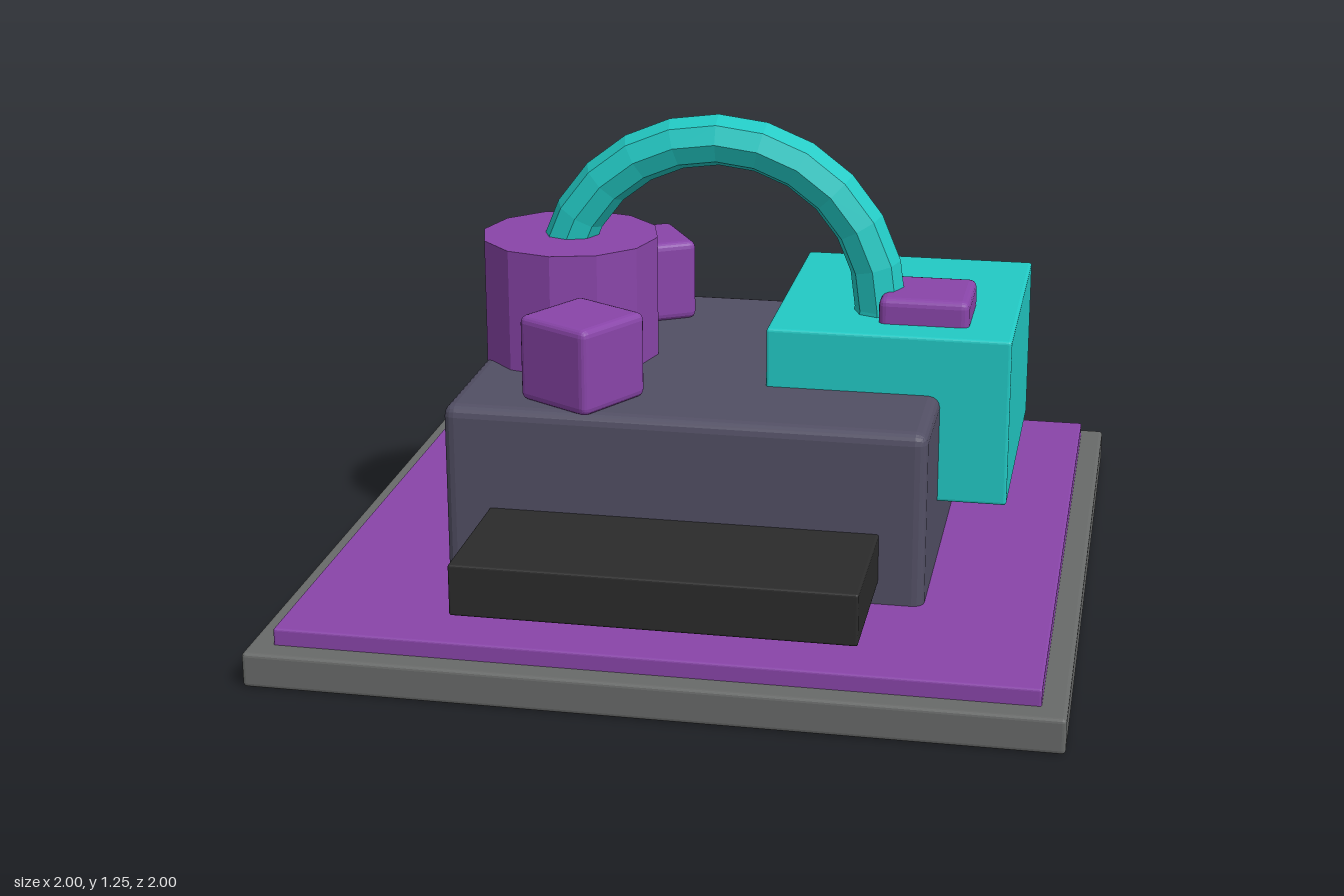
import * as THREE from 'three';
import { RoundedBoxGeometry } from 'three/addons/geometries/RoundedBoxGeometry.js';

function material(name, color, flat = false) {
  const m = new THREE.MeshStandardMaterial({ color });
  m.name = name;
  m.flatShading = flat;
  return m;
}

export function createModel() {
  const grey = material('grey', 0x686a69, true);
  const purple = material('purple', 0x8945a9, true);
  const slate = material('slate', 0x524f64, true);
  const black = material('black', 0x2b2b2b, true);
  const turquoise = material('turquoise', 0x22cac5, true);

  const model = new THREE.Group();
  model.name = 'model';

  function add(name, geometry, mat, x = 0, y = 0, z = 0) {
    const mesh = new THREE.Mesh(geometry, mat);
    mesh.name = name;
    mesh.position.set(x, y, z);
    model.add(mesh);
    return mesh;
  }

  // Bevelled box given by its extents on each axis
  function block(name, mat, [x0, x1], [y0, y1], [z0, z1], bevel) {
    const geometry = new RoundedBoxGeometry(x1 - x0, y1 - y0, z1 - z0, 2, bevel);
    return add(name, geometry, mat, (x0 + x1) / 2, (y0 + y1) / 2, (z0 + z1) / 2);
  }

  // Stacked floor slabs
  block('basePlate', grey, [-1, 1], [0, 0.09], [-1, 1], 0.01);
  block('floorPanel', purple, [-0.938, 0.938], [0.07, 0.133], [-0.938, 0.938], 0.006);

  // Main housing and the front ledge
  block('mainBody', slate, [-0.618, 0.615], [0.09, 0.587], [-0.573, 0.518], 0.03);
  block('frontLedge', black, [-0.5, 0.5], [0.187, 0.32], [0.4, 0.9], 0.006);

  // Side box with its button
  block('sideBox', turquoise, [0.163, 0.793], [0.3, 0.743], [-0.535, 0.215], 0.008);
  block('button', purple, [0.44, 0.675], [0.58, 0.81], [-0.118, 0.118], 0.02);

  // Twelve-sided drum
  add('drum', new THREE.CylinderGeometry(0.237, 0.237, 0.608, 12), purple, -0.402, 0.608, 0)
    .rotation.y = Math.PI / 6;

  // Mirrored pair of turned cubes
  for (const side of [-1, 1]) {
    const cube = block(side > 0 ? 'frontCube' : 'backCube', purple,
      [-0.397, -0.167], [0.585, 0.81], [side * 0.382 - 0.115, side * 0.382 + 0.115], 0.02);
    cube.rotation.y = -side * Math.PI / 6;
  }

  // Pipe arch, its ends sunk into the drum and the side box
  const step = Math.PI / 12;
  add('pipeArch', new THREE.TorusGeometry(0.432, 0.068, 8, 14, step * 14), turquoise, 0, 0.752, 0)
    .rotation.z = -step;

  return model;
}
